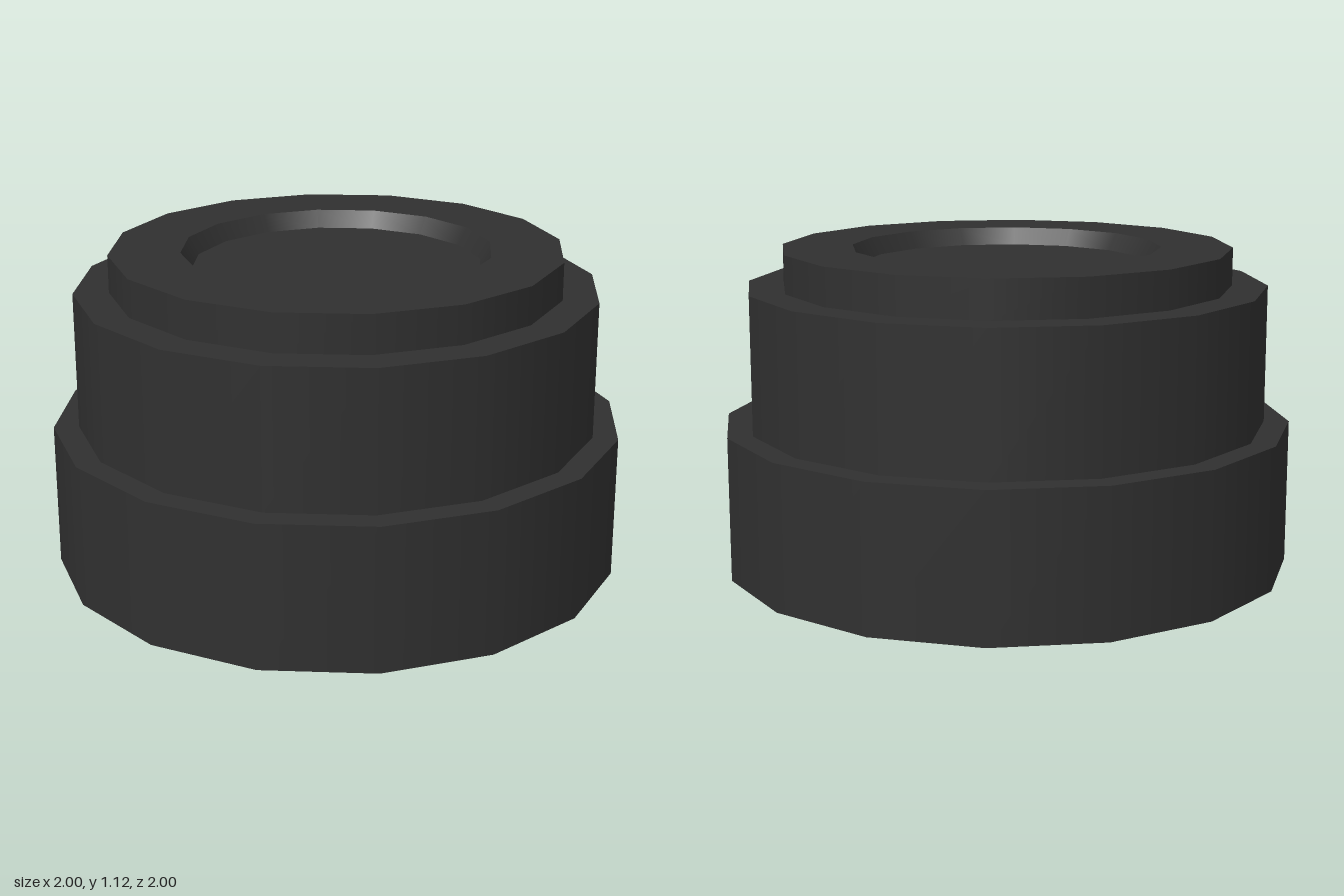
import * as THREE from 'three';

const SIDES = 16;

export function createModel() {
  const group = new THREE.Group();
  const material = new THREE.MeshStandardMaterial({ color: 0x303030, side: THREE.DoubleSide });

  const add = (name, geometry, y) => {
    const mesh = new THREE.Mesh(geometry, material);
    mesh.name = name;
    mesh.position.y = y;
    group.add(mesh);
  };
  // open band between two heights
  const wall = (name, rBottom, rTop, y0, y1) =>
    add(name, new THREE.CylinderGeometry(rTop, rBottom, y1 - y0, SIDES, 1, true), (y0 + y1) / 2);
  // flat ring facing up
  const ledge = (name, rInner, rOuter, y) =>
    add(name, new THREE.RingGeometry(rInner, rOuter, SIDES).rotateX(-Math.PI / 2), y);

  // three stepped tiers of a thin shell, open underneath: radius, bottom, top, inner edge of ledge
  const tiers = [
    ['base', 1, 0, 0.505, 0.912],
    ['middle', 0.912, 0.505, 0.988, 0.788],
    ['top', 0.788, 0.988, 1.12, 0.54],
  ];
  for (const [name, r, y0, y1, inner] of tiers) {
    wall(name + 'Wall', r, r, y0, y1);
    ledge(name + 'Ledge', inner, r, y1);
  }

  // shallow tapered recess in the top
  wall('recessWall', 0.505, 0.54, 1.06, 1.12);
  add('recessFloor', new THREE.CircleGeometry(0.505, SIDES).rotateX(-Math.PI / 2), 1.06);

  return group;
}
